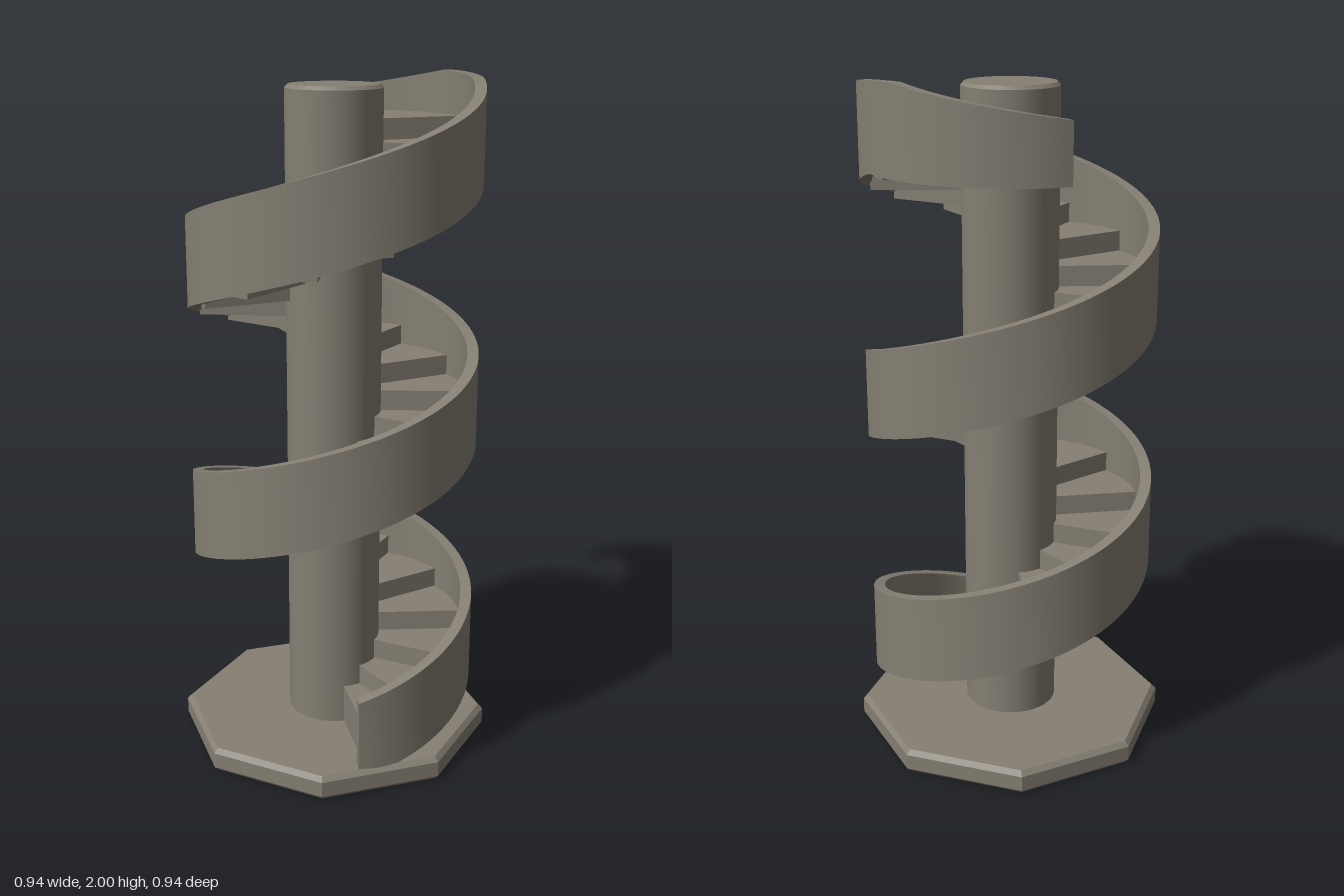
import * as THREE from 'three';
import { toCreasedNormals } from 'three/addons/utils/BufferGeometryUtils.js';

const RISE = 0.755 / 360; // climb per degree
const START = 14, END = 918; // angles run from the front (+z) towards +x
const helix = (deg) => 0.2 + (deg - 90) * RISE;

// Sweep a rectangular section round the y axis between two angles
function sweep(a0, a1, n, r0, r1, low, high) {
  const pos = [], idx = [];
  for (let i = 0; i <= n; i++) {
    const deg = a0 + (a1 - a0) * i / n;
    const a = THREE.MathUtils.degToRad(deg), s = Math.sin(a), c = Math.cos(a);
    const lo = low(deg), hi = high(deg);
    for (const [r, y] of [[r0, lo], [r1, lo], [r1, hi], [r0, hi]]) pos.push(r * s, y, r * c);
    if (i === n) break;
    for (let j = 0; j < 4; j++) {
      const p = i * 4 + j, q = i * 4 + (j + 1) % 4;
      idx.push(p, p + 4, q, q, p + 4, q + 4);
    }
  }
  const e = n * 4;
  idx.push(0, 1, 2, 0, 2, 3, e, e + 2, e + 1, e, e + 3, e + 2);
  const g = new THREE.BufferGeometry();
  g.setAttribute('position', new THREE.Float32BufferAttribute(pos, 3));
  g.setIndex(idx);
  return toCreasedNormals(g, 0.5);
}

export function createModel() {
  const model = new THREE.Group();
  const stone = new THREE.MeshStandardMaterial({ color: 0x857f73 });
  stone.name = 'stone';
  const add = (geometry, name, parent = model) => {
    const mesh = new THREE.Mesh(geometry, stone);
    mesh.name = name;
    parent.add(mesh);
  };
  const lathe = (points, sides, crease) => toCreasedNormals(
    new THREE.LatheGeometry(points.map(([x, y]) => new THREE.Vector2(x, y)), sides), crease);

  // Octagonal base with bevelled rims and a shallow recess underneath
  add(lathe([[0, 0.025], [0.443, 0.025], [0.447, 0], [0.46, 0], [0.469, 0.01],
    [0.469, 0.056], [0.455, 0.07], [0, 0.07]], 8, 0.2), 'base');

  // Central column
  add(lathe([[0.139, 0.06], [0.139, 1.965], [0.13, 1.975], [0, 1.975]], 40, 0.5), 'column');

  // Spiral parapet, levelling out beside the landing
  const wallLow = (d) => Math.max(0.06, Math.min(helix(d) - 0.005, 1.752));
  const wallHigh = (d) => {
    if (d < 820) return helix(d) + 0.24 + 0.018 * Math.min(1, (d - START) / 60);
    const t = Math.min(1, (d - 820) / 30);
    const crest = helix(820) + 0.258 + 0.011 * Math.sin(t * Math.PI / 2);
    return crest - Math.max(0, d - 850) * 0.0012;
  };
  add(sweep(START, END, 226, 0.39, 0.423, wallLow, wallHigh), 'parapet');

  // Wedge steps, the first standing on the base and the last a long landing
  const steps = new THREE.Group();
  steps.name = 'steps';
  model.add(steps);
  const COUNT = 29, TURN = 29.55;
  for (let k = 0; k < COUNT; k++) {
    const first = k === 0, last = k === COUNT - 1;
    const a0 = first ? START + 3 : 8.8 + k * TURN;
    const a1 = last ? 900 : 8.8 + (k + 1) * TURN;
    const top = 0.187 + k * 0.0603;
    const bottom = first ? 0.06 : top - 0.08;
    add(sweep(a0, a1, last ? 12 : 6, 0.12, 0.395, () => bottom, () => top),
      last ? 'landing' : 'step', steps);
  }
  return model;
}
